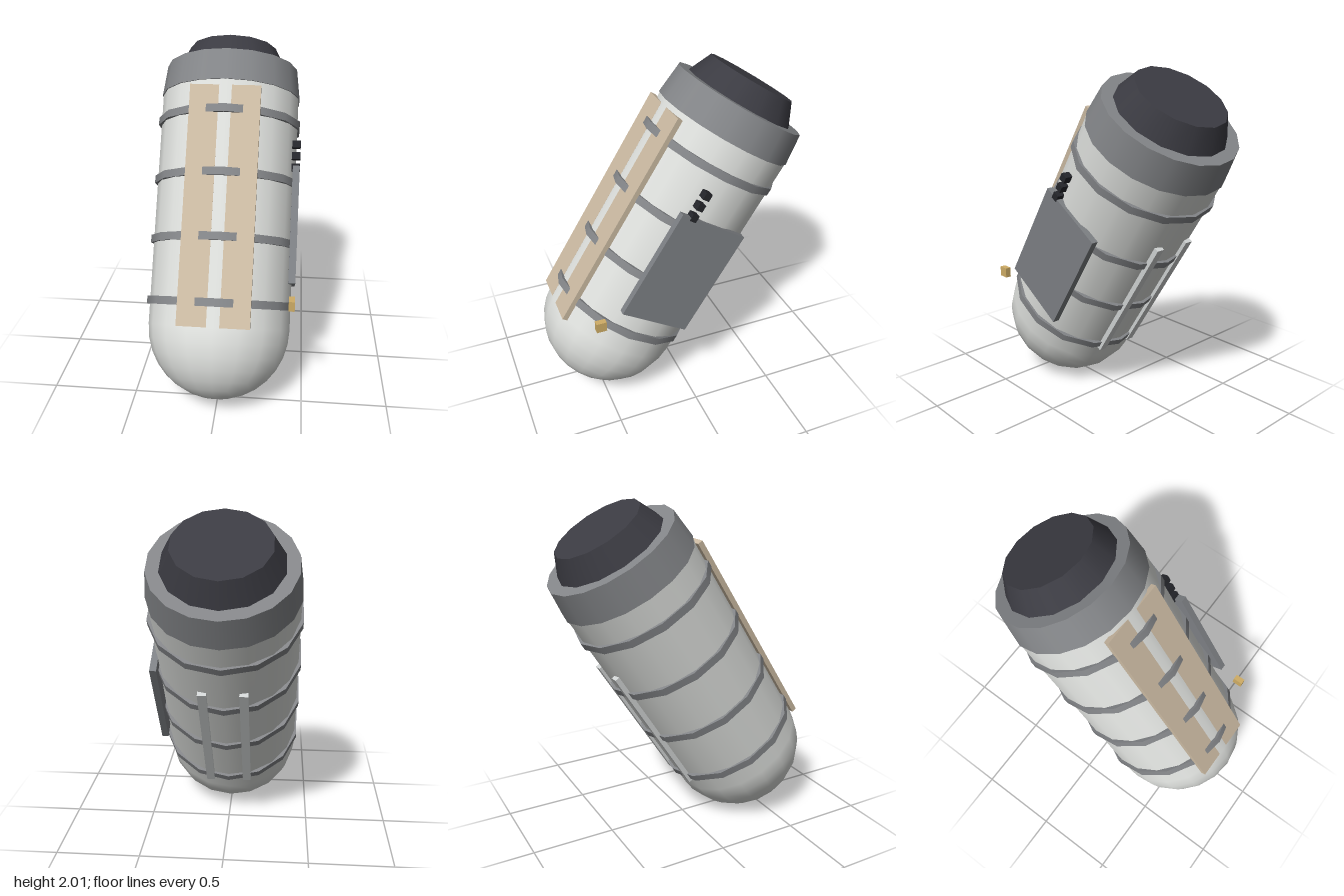
import * as THREE from 'three';

const material = (name, color) => {
  const m = new THREE.MeshStandardMaterial({ color });
  m.name = name;
  return m;
};

export function createModel() {
  const shellWhite = material('shellWhite', 0xdcdedb);
  const stripGrey = material('stripGrey', 0xd0d3d3);
  const metalGrey = material('metalGrey', 0x838588);
  const panelGrey = material('panelGrey', 0x7d8084);
  const darkLid = material('darkLid', 0x3b3b42);
  const ventBlack = material('ventBlack', 0x25262b);
  const tan = material('tan', 0xcbbaa2);
  const gold = material('gold', 0xcfad66);

  const root = new THREE.Group();
  root.name = 'canister';

  // Tilted frame: origin at the centre of the domed end, local y along the axis
  const tank = new THREE.Group();
  tank.name = 'tank';
  tank.position.set(0, 0.418, 0.384);
  tank.rotation.x = -0.561;
  root.add(tank);

  const add = (parent, name, geometry, mat, x, y, z) => {
    const mesh = new THREE.Mesh(geometry, mat);
    mesh.name = name;
    mesh.position.set(x, y, z);
    parent.add(mesh);
    return mesh;
  };
  const box = (parent, name, size, mat, x, y, z) =>
    add(parent, name, new THREE.BoxGeometry(...size), mat, x, y, z);

  // Shell: rounded lower end running into a straight wall
  const R = 0.42;
  const profile = [];
  for (let i = 0; i <= 8; i++) {
    const a = (i / 8) * Math.PI / 2;
    profile.push(new THREE.Vector2(R * Math.sin(a), -R * Math.cos(a)));
  }
  profile.push(new THREE.Vector2(R, 1.4));
  add(tank, 'shell', new THREE.LatheGeometry(profile, 18), shellWhite, 0, 0, 0);

  // Collar and tapered lid
  add(tank, 'collar', new THREE.CylinderGeometry(0.404, 0.426, 0.186, 18), metalGrey, 0, 1.478, 0);
  add(tank, 'lid', new THREE.CylinderGeometry(0.269, 0.335, 0.135, 14), darkLid, 0, 1.638, 0);

  // Bands: their front corners break through the boards
  for (let i = 0; i < 4; i++) {
    add(tank, 'band', new THREE.CylinderGeometry(0.438, 0.438, 0.045, 14), metalGrey, 0, 0.135 + i * 0.36, 0);
  }

  // Paired front boards and rear strips
  for (const side of [-1, 1]) {
    box(tank, 'frontBoard', [0.165, 1.352, 0.032], tan, side * 0.1185, 0.676, 0.398);
    box(tank, 'rearStrip', [0.05, 0.9, 0.035], stripGrey, side * 0.115, 0.545, -0.407);
  }

  // Side panel with a row of small vents above it
  box(tank, 'sidePanel', [0.04, 0.675, 0.45], panelGrey, 0.415, 0.602, 0.006);
  for (let i = 0; i < 3; i++) {
    box(tank, 'vent', [0.05, 0.042, 0.042], ventBlack, 0.412, 0.943 + i * 0.069, 0.153);
  }

  // Small upright block beside the dome
  box(root, 'sideBlock', [0.034, 0.06, 0.06], gold, 0.419, 0.708, 0.565);

  return root;
}
